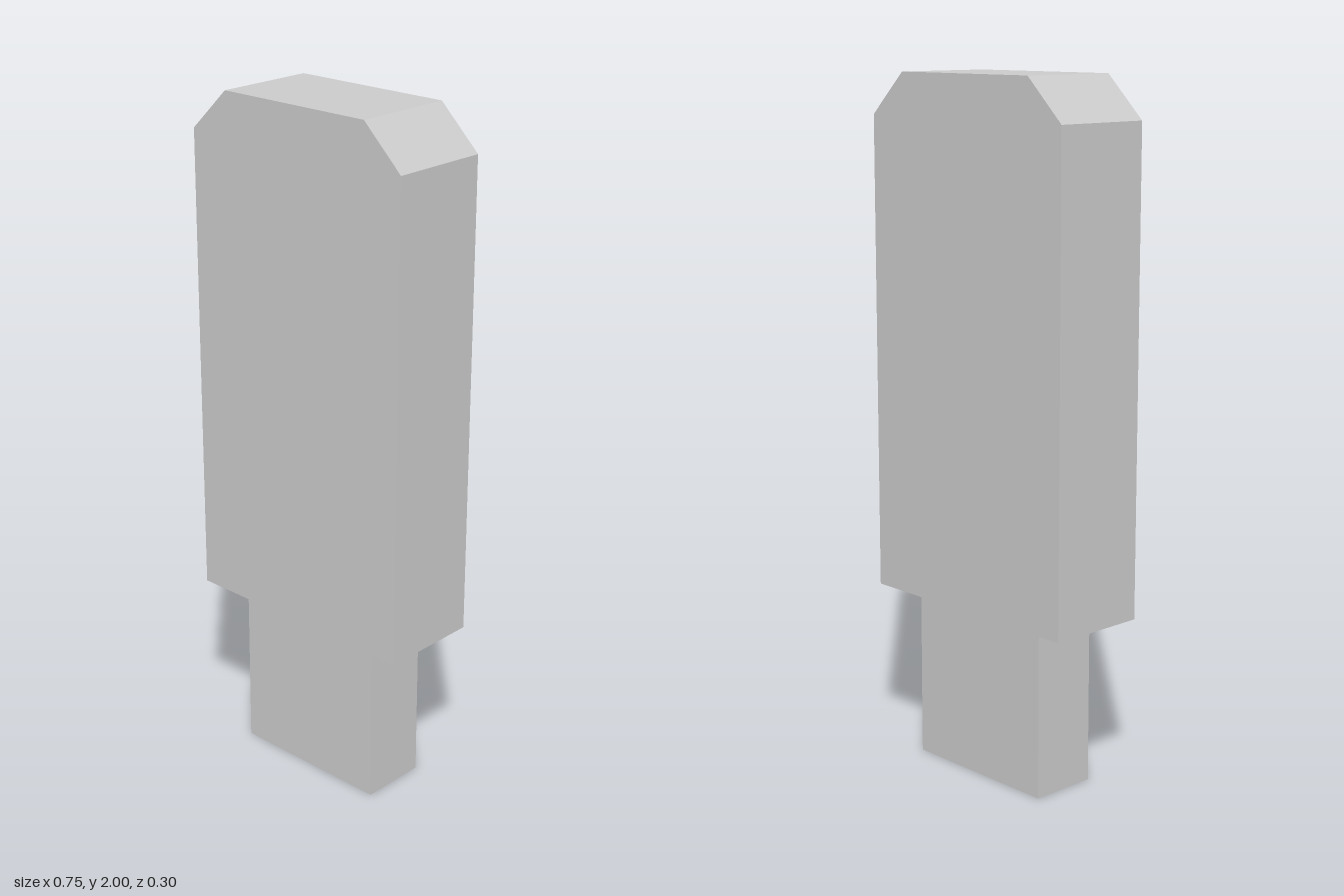
import * as THREE from 'three';

// Rectangular sections, bottom to top: half width, half depth, height
const PLUG_FOOT = [0.248, 0.1, 0];
const PLUG_TOP = [0.248, 0.1, 0.478];
const BODY_FOOT = [0.374, 0.15, 0.502];
const CHAMFER_START = [0.374, 0.15, 1.88];
const BODY_TOP = [0.249, 0.15, 2];

const material = new THREE.MeshStandardMaterial({ color: 0xcccccc, flatShading: true });

// Corners of one section, counterclockwise seen from above
function corners([w, d, y]) {
  return [[-w, y, d], [w, y, d], [w, y, -d], [-w, y, -d]];
}

// Skin a stack of rectangular sections, with optional end caps
function loft(name, sections, { capBottom = false, capTop = false } = {}) {
  const rings = sections.map(corners);
  const positions = [];
  const quad = (a, b, c, d) => positions.push(...a, ...b, ...c, ...a, ...c, ...d);

  for (let s = 0; s < rings.length - 1; s++) {
    const low = rings[s], high = rings[s + 1];
    for (let i = 0; i < 4; i++) {
      const j = (i + 1) % 4;
      quad(low[i], low[j], high[j], high[i]);
    }
  }
  if (capBottom) quad(...[...rings[0]].reverse());
  if (capTop) quad(...rings[rings.length - 1]);

  const geometry = new THREE.BufferGeometry();
  geometry.setAttribute('position', new THREE.Float32BufferAttribute(positions, 3));
  geometry.computeVertexNormals();
  const mesh = new THREE.Mesh(geometry, material);
  mesh.name = name;
  return mesh;
}

export function createModel() {
  const group = new THREE.Group();
  group.name = 'plugInStick';
  group.add(
    // Narrow plug at the bottom
    loft('plug', [PLUG_FOOT, PLUG_TOP], { capBottom: true }),
    // Shallow bevel widening from plug to body
    loft('shoulder', [PLUG_TOP, BODY_FOOT]),
    // Main casing with chamfered upper corners
    loft('body', [BODY_FOOT, CHAMFER_START, BODY_TOP], { capTop: true }),
  );
  return group;
}
